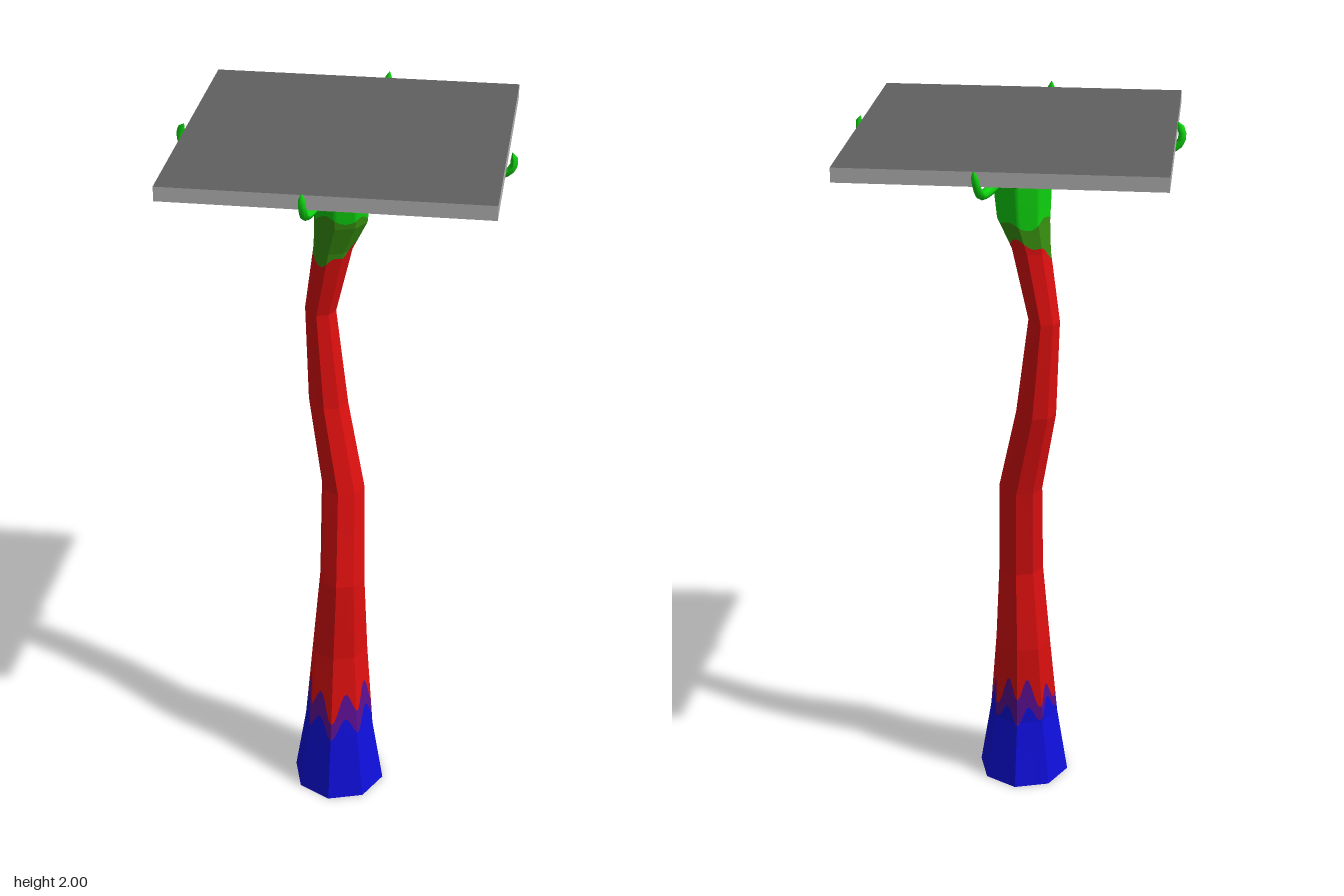
import * as THREE from 'three';

const mat = (name, color, side = THREE.FrontSide, flatShading = false) => {
  const m = new THREE.MeshStandardMaterial({ color, side, flatShading });
  m.name = name;
  return m;
};

// Trunk rings: height, min x, max x, min z, max z
const RINGS = [
  [0, -0.132, 0.132, -0.032, 0.235],
  [0.2, -0.1, 0.1, 0, 0.2],
  [0.45, -0.082, 0.077, -0.01, 0.157],
  [0.69, -0.06, 0.067, 0, 0.145],
  [0.96, -0.066, 0.055, -0.037, 0.085],
  [1.2, -0.11, 0, -0.065, 0.042],
  [1.47, -0.12, -0.035, -0.067, 0.025],
  [1.66, -0.092, 0.012, -0.062, 0.042],
  [1.74, -0.089, 0.052, -0.074, 0.06],
  [1.83, -0.092, 0.063, -0.082, 0.076],
  [1.9, -0.1, 0.068, -0.083, 0.082],
  [1.945, -0.084, 0.058, -0.068, 0.068],
];
const SIDES = 8, SUB = 8, COLS = SIDES * SUB;

// Point on the octagonal trunk at column i and height y
function trunkPoint(i, y) {
  let k = 0;
  while (k < RINGS.length - 2 && y > RINGS[k + 1][0]) k++;
  const t = (y - RINGS[k][0]) / (RINGS[k + 1][0] - RINGS[k][0]);
  const [, x0, x1, z0, z1] = RINGS[k].map((v, j) => THREE.MathUtils.lerp(v, RINGS[k + 1][j], t));
  const side = Math.floor(i / SUB), f = (i % SUB) / SUB;
  const a = side / SIDES * Math.PI * 2, b = (side + 1) / SIDES * Math.PI * 2;
  const c = THREE.MathUtils.lerp(Math.cos(a), Math.cos(b), f);
  const s = THREE.MathUtils.lerp(Math.sin(a), Math.sin(b), f);
  return [(x0 + x1) / 2 + c * (x1 - x0) / 2, y, (z0 + z1) / 2 + s * (z1 - z0) / 2];
}

// One coloured stretch of trunk between two wavy borders
function trunkBand(lower, upper) {
  const levels = [-1, ...RINGS.map(r => r[0]), 3];
  const pos = [], index = [], n = levels.length;
  for (let i = 0; i <= COLS; i++) {
    const a = i / COLS * Math.PI * 2, lo = lower(a), hi = upper(a);
    for (const y of levels) pos.push(...trunkPoint(i % COLS, THREE.MathUtils.clamp(y, lo, hi)));
  }
  for (let i = 0; i < COLS; i++) {
    for (let j = 0; j < n - 1; j++) {
      const p = i * n + j, q = p + n;
      index.push(p, p + 1, q, q, p + 1, q + 1);
    }
  }
  const g = new THREE.BufferGeometry();
  g.setAttribute('position', new THREE.Float32BufferAttribute(pos, 3));
  g.setIndex(index);
  g.computeVertexNormals();
  return g;
}

// Tapered round limb along a smooth path
function limb(points, r0, r1) {
  const curve = new THREE.CatmullRomCurve3(points.map(p => new THREE.Vector3(...p)));
  const segs = 28, radial = 8;
  const g = new THREE.TubeGeometry(curve, segs, 1, radial);
  const pos = g.attributes.position, v = new THREE.Vector3();
  for (let i = 0; i <= segs; i++) {
    const t = i / segs, c = curve.getPointAt(t);
    const flare = 0.014 * Math.max(0, 1 - t * 6);
    const r = i === segs ? 0.001 : THREE.MathUtils.lerp(r0, r1, t) + flare;
    for (let j = 0; j <= radial; j++) {
      const k = i * (radial + 1) + j;
      v.fromBufferAttribute(pos, k).sub(c).multiplyScalar(r).add(c);
      pos.setXYZ(k, v.x, v.y, v.z);
    }
  }
  g.computeVertexNormals();
  return g;
}

export function createModel() {
  const group = new THREE.Group();
  const D = THREE.DoubleSide;
  const blue = mat('blue', 0x0f0fdc, D, true);
  const purple = mat('purple', 0x5a1090, D, true);
  const red = mat('red', 0xdc0f0f, D, true);
  const olive = mat('oliveGreen', 0x389010, D, true);
  const green = mat('green', 0x0fd40f, D);
  const darkGrey = mat('darkGrey', 0x606060);
  const lightGrey = mat('lightGrey', 0xb4b4b4);
  const add = (name, geometry, material) => {
    const m = new THREE.Mesh(geometry, material);
    m.name = name;
    group.add(m);
    return m;
  };

  // Trunk bands with jagged borders
  const purpleTop = a => 0.3 - 0.04 * Math.cos(8 * a + 0.8 * Math.cos(a)) + 0.02 * Math.sin(3 * a);
  const purpleBase = a => 0.235 - 0.03 * Math.cos(8 * a + 0.8 * Math.cos(a)) + 0.015 * Math.cos(2 * a);
  const oliveBase = a => 1.66 - 0.03 * Math.sin(a) + 0.015 * Math.cos(a) + 0.008 * Math.cos(5 * a);
  const oliveTop = a => 1.75 + 0.015 * Math.sin(a) + 0.01 * Math.sin(4 * a);
  add('trunkFoot', trunkBand(() => 0, purpleBase), blue);
  add('trunkFootBorder', trunkBand(purpleBase, purpleTop), purple);
  add('trunk', trunkBand(purpleTop, oliveBase), red);
  add('trunkHeadBorder', trunkBand(oliveBase, oliveTop), olive);
  add('trunkHead', trunkBand(oliveTop, () => 1.945), green);

  // Cap over the head
  const cap = add('trunkHeadCap', new THREE.CircleGeometry(0.068, SIDES), green);
  cap.rotation.x = -Math.PI / 2;
  cap.position.set(-0.013, 1.944, 0);

  // Four limbs that hook round the edges of the board
  const limbs = {
    rightLimb: [[-0.05, 1.85, 0], [-0.1, 1.855, 0.01], [-0.18, 1.88, 0.03], [-0.27, 1.905, 0.05],
      [-0.36, 1.918, 0.065], [-0.407, 1.94, 0.07], [-0.415, 1.97, 0.068], [-0.402, 1.996, 0.075]],
    leftLimb: [[0.02, 1.855, 0], [0.07, 1.868, 0], [0.13, 1.882, 0.005], [0.25, 1.893, 0.015],
      [0.36, 1.908, 0.023], [0.415, 1.93, 0.026], [0.428, 1.955, 0.028], [0.422, 1.98, 0.028]],
    frontLimb: [[-0.013, 1.85, 0.04], [-0.013, 1.858, 0.09], [-0.01, 1.88, 0.15], [-0.006, 1.908, 0.24],
      [-0.004, 1.918, 0.34], [-0.003, 1.935, 0.41], [-0.003, 1.963, 0.43], [-0.005, 1.998, 0.427]],
    backLimb: [[-0.012, 1.86, -0.04], [-0.01, 1.87, -0.09], [-0.006, 1.89, -0.15], [0, 1.903, -0.23],
      [0.003, 1.904, -0.32], [0.003, 1.918, -0.4], [0.006, 1.945, -0.428], [0.012, 1.985, -0.434]],
  };
  for (const [name, path] of Object.entries(limbs)) add(name, limb(path, 0.021, 0.009), green);

  // Square board, slightly turned and tilted
  const board = add('board', new THREE.BoxGeometry(0.81, 0.037, 0.81),
    [lightGrey, lightGrey, darkGrey, darkGrey, lightGrey, lightGrey]);
  board.position.y = 1.963;
  board.rotation.set(-0.012, 0.103, 0);

  return group;
}
